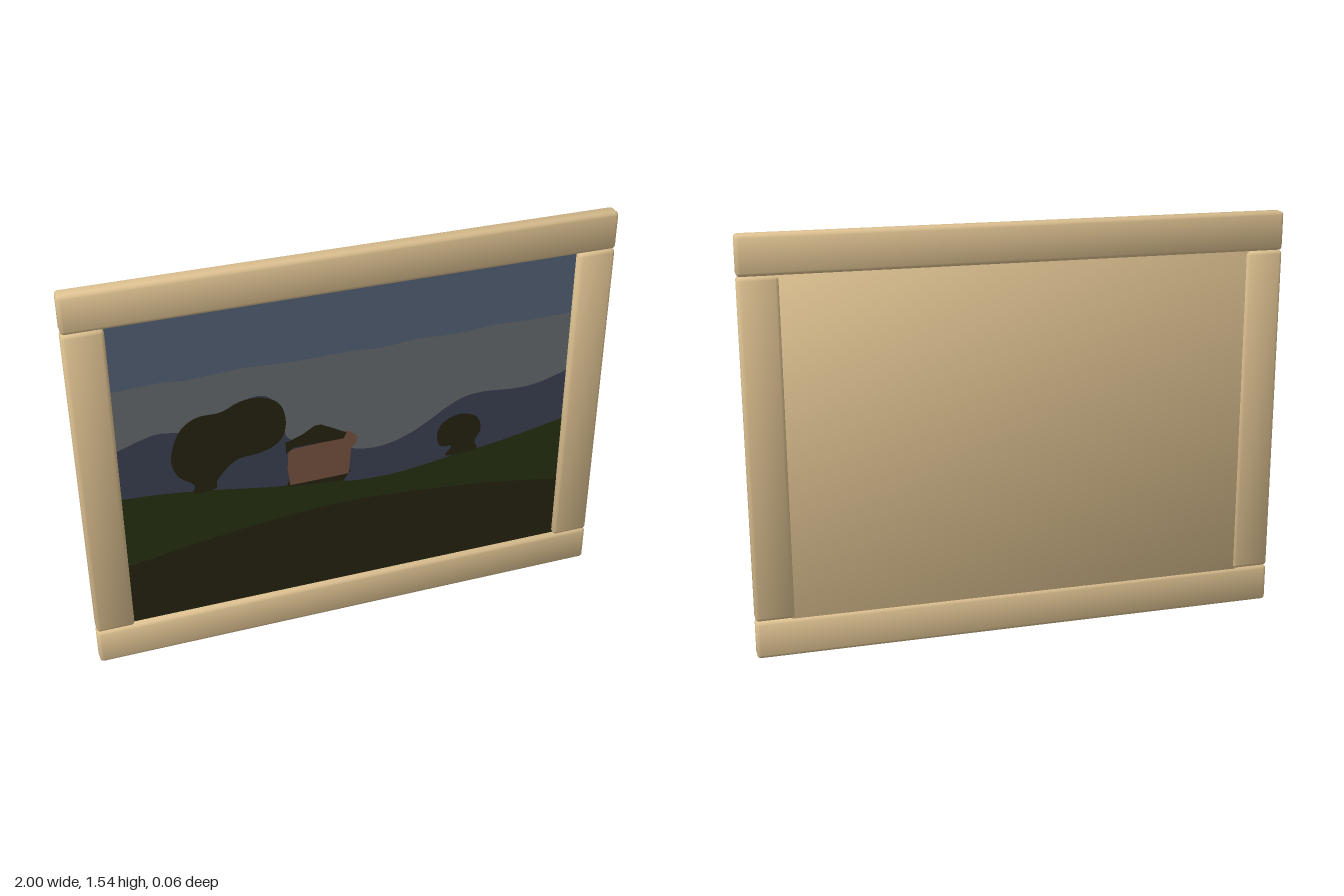
import * as THREE from 'three';
import { RoundedBoxGeometry } from 'three/addons/geometries/RoundedBoxGeometry.js';

const material = (name, color) => {
  const m = new THREE.MeshStandardMaterial({ color });
  m.name = name;
  return m;
};

// Rounded box whose normals lean outwards at the corners, for a soft pillowed look
function softBox(w, h, d, radius, lean) {
  const g = new RoundedBoxGeometry(w, h, d, 2, radius);
  const p = g.attributes.position, n = g.attributes.normal;
  const v = new THREE.Vector3();
  for (let i = 0; i < p.count; i++) {
    v.fromBufferAttribute(n, i);
    v.x += lean * Math.sign(p.getX(i));
    v.y += lean * Math.sign(p.getY(i));
    v.z += lean * Math.sign(p.getZ(i));
    v.normalize();
    n.setXYZ(i, v.x, v.y, v.z);
  }
  return g;
}

const points = (list) => list.map(([x, y]) => new THREE.Vector2(x, y));

// Area from a wavy top line down to the bottom of the picture
function band(line, bottom) {
  const top = new THREE.SplineCurve(points(line)).getPoints(48);
  const right = line[line.length - 1][0];
  return new THREE.Shape([...top, new THREE.Vector2(right, bottom), new THREE.Vector2(line[0][0], bottom)]);
}

export function createModel() {
  const model = new THREE.Group();
  const wood = material('light wood', 0xdcc090);
  const blue = material('sky blue', 0x526075);
  const grey = material('cloud grey', 0x66696c);
  const slate = material('mountain slate', 0x3a4050);
  const green = material('meadow green', 0x263012);
  const dark = material('dark earth', 0x262310);
  const clay = material('clay wall', 0x765140);

  const add = (name, geometry, mat, x, y, z) => {
    const mesh = new THREE.Mesh(geometry, mat);
    mesh.name = name;
    mesh.position.set(x, y, z);
    model.add(mesh);
  };

  // Frame
  add('bottomRail', softBox(2, 0.143, 0.06, 0.013, 0.4), wood, 0, 0.0715, 0);
  add('topRail', softBox(2, 0.143, 0.06, 0.013, 0.4), wood, 0, 1.4685, 0);
  for (const [name, s] of [['leftStile', 1], ['rightStile', -1]]) {
    add(name, softBox(0.142, 1.252, 0.06, 0.013, 0.4), wood, s * 0.929, 0.77, 0);
  }

  // Backing board
  add('backPanel', softBox(1.74, 1.27, 0.024, 0.002, 0.8), wood, 0, 0.77, -0.011);

  // Painted layers, each just in front of the last
  const L = -0.865, R = 0.865, B = 0.135;
  let depth = 0.0015;
  const paint = (name, shape, mat) => {
    depth += 0.0007;
    add(name, new THREE.ShapeGeometry(shape), mat, 0, 0, depth);
  };
  const blob = (list) => {
    const curve = new THREE.CatmullRomCurve3(list.map(([x, y]) => new THREE.Vector3(x, y, 0)), true);
    return new THREE.Shape(curve.getPoints(64).slice(0, -1).map((p) => new THREE.Vector2(p.x, p.y)));
  };

  paint('sky', band([[L, 1.405], [R, 1.405]], B), blue);
  paint('clouds', band([
    [L, 1.14], [-0.68, 1.148], [-0.6, 1.14], [-0.4, 1.15], [-0.2, 1.142], [0, 1.145],
    [0.12, 1.138], [0.25, 1.148], [0.4, 1.143], [0.55, 1.152], [0.7, 1.148], [R, 1.15],
  ], B), grey);
  paint('mountains', band([
    [L, 0.9], [-0.72, 0.945], [-0.62, 0.935], [-0.5, 0.96], [-0.38, 1.025], [-0.29, 1.0],
    [-0.24, 0.83], [-0.15, 0.8], [0, 0.735], [0.12, 0.72], [0.25, 0.76], [0.4, 0.85],
    [0.5, 0.876], [0.65, 0.865], [0.75, 0.872], [R, 0.907],
  ], B), slate);
  paint('meadow', band([
    [L, 0.7], [-0.7, 0.69], [-0.5, 0.663], [-0.3, 0.63], [-0.1, 0.61], [0.03, 0.587],
    [0.2, 0.587], [0.4, 0.615], [0.6, 0.64], [R, 0.692],
  ], B), green);
  paint('foreground', band([
    [L, 0.4], [-0.6, 0.445], [-0.3, 0.483], [0, 0.5], [0.3, 0.483], [0.6, 0.45], [R, 0.405],
  ], B), dark);

  // Trees
  paint('largeTree', blob([
    [-0.67, 0.83], [-0.63, 0.945], [-0.57, 0.985], [-0.48, 0.99], [-0.41, 1.02], [-0.33, 1.02],
    [-0.27, 0.985], [-0.247, 0.92], [-0.255, 0.85], [-0.29, 0.81], [-0.35, 0.79], [-0.43, 0.78],
    [-0.48, 0.74], [-0.51, 0.7], [-0.51, 0.675], [-0.6, 0.67], [-0.59, 0.7], [-0.65, 0.755],
  ]), dark);
  paint('smallTree', blob([
    [0.34, 0.72], [0.36, 0.77], [0.43, 0.798], [0.5, 0.77], [0.517, 0.71], [0.495, 0.665],
    [0.505, 0.63], [0.44, 0.62], [0.375, 0.625], [0.4, 0.66], [0.355, 0.67],
  ]), dark);

  // Cottage
  paint('cottageBase', new THREE.Shape(points([
    [-0.25, 0.62], [-0.03, 0.6], [0, 0.64], [-0.24, 0.65],
  ])), dark);
  paint('cottageWall', new THREE.Shape(points([
    [-0.237, 0.625], [-0.01, 0.628], [0, 0.74], [0.018, 0.755], [0.025, 0.785], [0, 0.81],
    [-0.03, 0.82], [-0.05, 0.79], [-0.24, 0.78], [-0.245, 0.7],
  ])), clay);
  paint('cottageRoof', new THREE.Shape(points([
    [-0.25, 0.765], [-0.22, 0.787], [-0.03, 0.787], [-0.018, 0.81], [-0.06, 0.835],
    [-0.115, 0.865], [-0.14, 0.865], [-0.19, 0.835], [-0.25, 0.815],
  ])), dark);

  return model;
}
